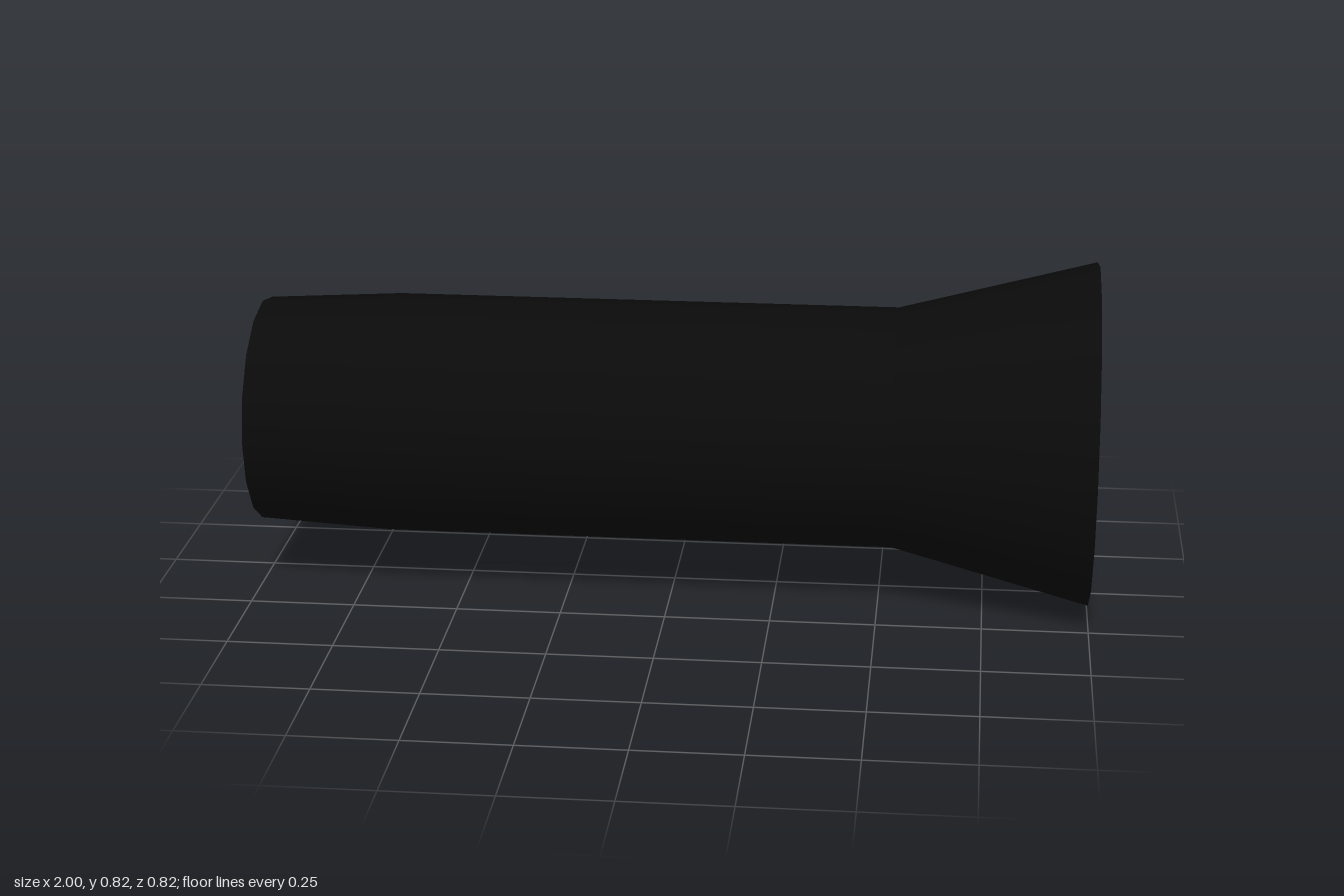
import * as THREE from 'three';

const SIDES = 16;

// Revolves [radius, x] points around the x axis.
function turned(name, points, material) {
  const profile = points.map(([r, x]) => new THREE.Vector2(r, x));
  const geometry = new THREE.LatheGeometry(profile, SIDES);
  geometry.rotateZ(-Math.PI / 2);
  const mesh = new THREE.Mesh(geometry, material);
  mesh.name = name;
  return mesh;
}

export function createModel() {
  const black = new THREE.MeshStandardMaterial({ color: 0x0a0a0a });
  const yellow = new THREE.MeshStandardMaterial({ color: 0xe6dc0a });

  const torch = new THREE.Group();
  torch.name = 'torch';

  torch.add(
    // Flat cap closing the tail
    turned('tailCap', [[0, -1], [0.27, -1]], black),
    // Handle with a slightly tapered tail
    turned('handle', [[0.27, -1], [0.288, -0.68], [0.288, 0.53]], black),
    // Flared head
    turned('head', [[0.288, 0.53], [0.41, 1]], black),
    // Sloping rim leading into the head
    turned('rim', [[0.41, 1], [0.27, 0.91]], black),
    // Recessed lamp: wall and end share smooth normals
    turned('lamp', [[0.27, 0.91], [0.27, 0.56], [0, 0.56]], yellow)
  );

  torch.position.y = 0.41;
  const model = new THREE.Group();
  model.name = 'model';
  model.add(torch);
  return model;
}
